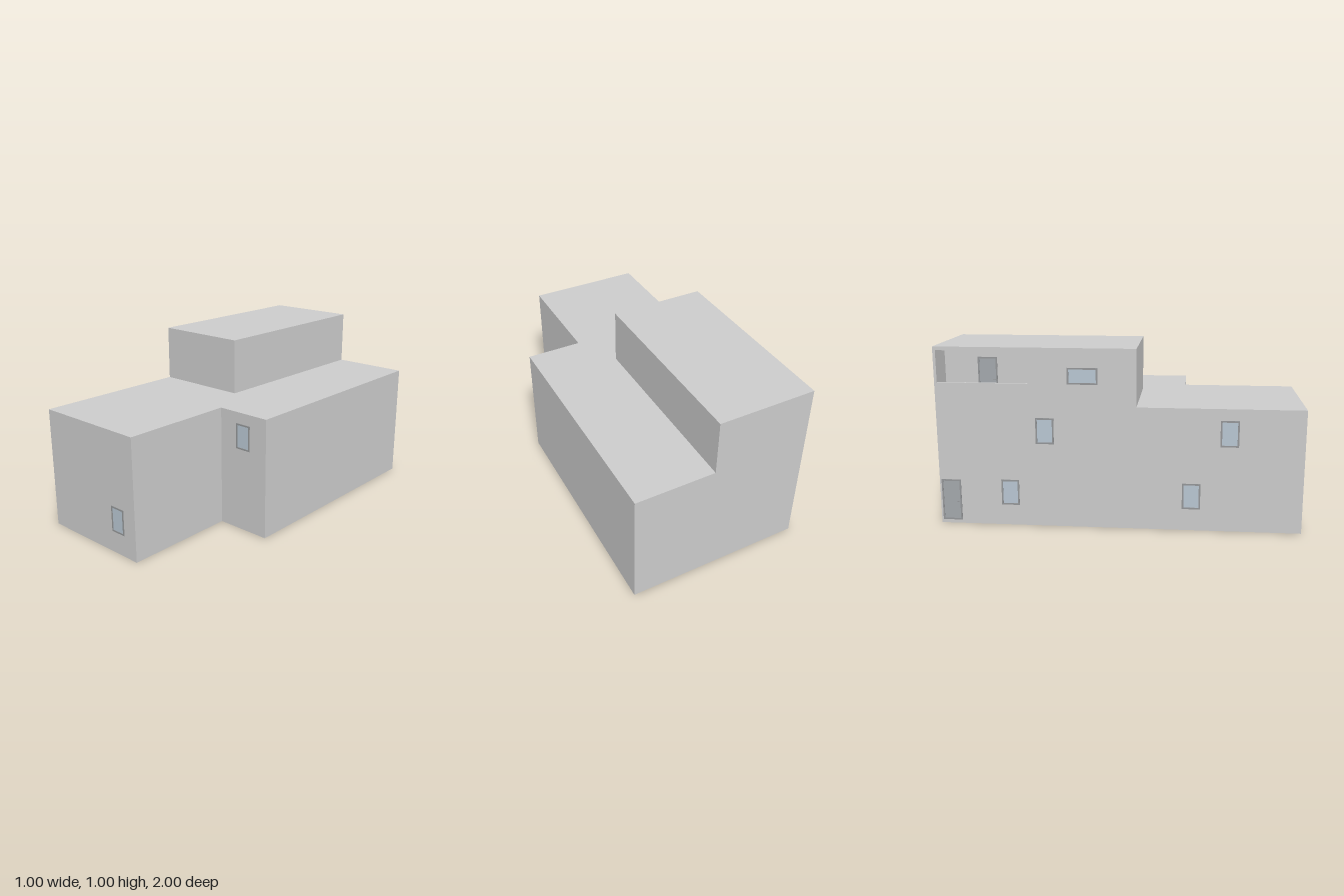
import * as THREE from 'three';

const grey = new THREE.MeshStandardMaterial({ color: 0xcccccc });
const slabMat = new THREE.MeshStandardMaterial({ color: 0xc2c2c2 });
const frameMat = new THREE.MeshStandardMaterial({ color: 0x949698 });
const glassMat = new THREE.MeshStandardMaterial({ color: 0xb8c6d2 });
const doorMat = new THREE.MeshStandardMaterial({ color: 0xa3a8ac });

// Upright prism over an outline of [x, z] corners
function prism(name, outline, y0, y1, mat) {
  const shape = new THREE.Shape(outline.map(([x, z]) => new THREE.Vector2(x, -z)));
  const geo = new THREE.ExtrudeGeometry(shape, { depth: y1 - y0, bevelEnabled: false });
  geo.rotateX(-Math.PI / 2);
  geo.translate(0, y0, 0);
  const mesh = new THREE.Mesh(geo, mat);
  mesh.name = name;
  return mesh;
}

function box(name, w, h, d, x, y, z, mat) {
  const mesh = new THREE.Mesh(new THREE.BoxGeometry(w, h, d), mat);
  mesh.position.set(x, y, z);
  mesh.name = name;
  return mesh;
}

// Frame with an inset panel, centred at the origin and facing +z
function framedPanel(name, w, h, panelMat, isDoor) {
  const group = new THREE.Group();
  group.name = name;
  const rim = 0.009;
  const rect = (Type, a, b) => new Type([
    new THREE.Vector2(-a, -b), new THREE.Vector2(a, -b), new THREE.Vector2(a, b), new THREE.Vector2(-a, b),
  ]);
  const shape = rect(THREE.Shape, w / 2, h / 2);
  shape.holes.push(rect(THREE.Path, w / 2 - rim, h / 2 - rim));
  const frame = new THREE.Mesh(new THREE.ExtrudeGeometry(shape, { depth: 0.003, bevelEnabled: false }), frameMat);
  frame.name = 'frame';
  group.add(frame, box('panel', w - rim, h - rim, 0.002, 0, 0, 0, panelMat));
  if (isDoor) group.add(box('handle', 0.012, 0.005, 0.005, w / 2 - 0.02, -0.01, 0.002, frameMat));
  return group;
}

export function createModel() {
  const model = new THREE.Group();
  model.name = 'house';

  // Two lower storeys on an L-shaped plan, with flush floor slabs
  const plan = [[-0.5, -1], [0.5, -1], [0.5, 0.355], [0.18, 0.355], [0.18, 1], [-0.5, 1]];
  model.add(
    prism('groundSlab', plan, 0, 0.02, slabMat),
    prism('groundFloorWalls', plan, 0.02, 0.36, grey),
    prism('middleSlab', plan, 0.36, 0.378, slabMat),
    prism('firstFloorWalls', plan, 0.378, 0.668, grey),
    prism('lowerRoof', plan, 0.668, 0.686, grey),
  );

  // Top storey with a balcony recess in its outer side
  const top = [[-0.5, -1], [0.05, -1], [0.05, 0.1], [-0.5, 0.1]];
  const recessed = [[-0.5, -1], [0.05, -1], [0.05, 0.1], [-0.5, 0.1],
    [-0.5, -0.485], [-0.345, -0.485], [-0.345, -0.985], [-0.5, -0.985]];
  model.add(
    prism('topFloorWalls', recessed, 0.686, 0.98, grey),
    prism('upperRoof', top, 0.98, 1, grey),
    box('balconyParapet', 0.015, 0.119, 0.5, -0.4925, 0.7455, -0.735, grey),
  );

  // Front windows: centre x, centre y, wall z
  for (const [x, y, z] of [[0.045, 0.195, 1], [0.34, 0.55, 0.355]]) {
    const win = framedPanel('frontWindow', 0.095, 0.145, glassMat);
    win.position.set(x, y, z);
    model.add(win);
  }

  // Side windows: centre z, centre y, width, height
  const sideWindows = [
    [-0.6, 0.19, 0.1, 0.145], [0.4, 0.195, 0.1, 0.145],
    [-0.4, 0.545, 0.1, 0.145], [0.6, 0.55, 0.1, 0.145],
    [-0.19, 0.85, 0.165, 0.09],
  ];
  for (const [z, y, w, h] of sideWindows) {
    const win = framedPanel('sideWindow', w, h, glassMat);
    win.position.set(-0.5, y, z);
    win.rotation.y = -Math.PI / 2;
    model.add(win);
  }

  // Entrance door and balcony door
  for (const [name, x, y, z] of [['entranceDoor', -0.5, 0.138, -0.935], ['balconyDoor', -0.345, 0.806, -0.743]]) {
    const door = framedPanel(name, 0.11, 0.236, doorMat, true);
    door.position.set(x, y, z);
    door.rotation.y = -Math.PI / 2;
    model.add(door);
  }
  return model;
}
